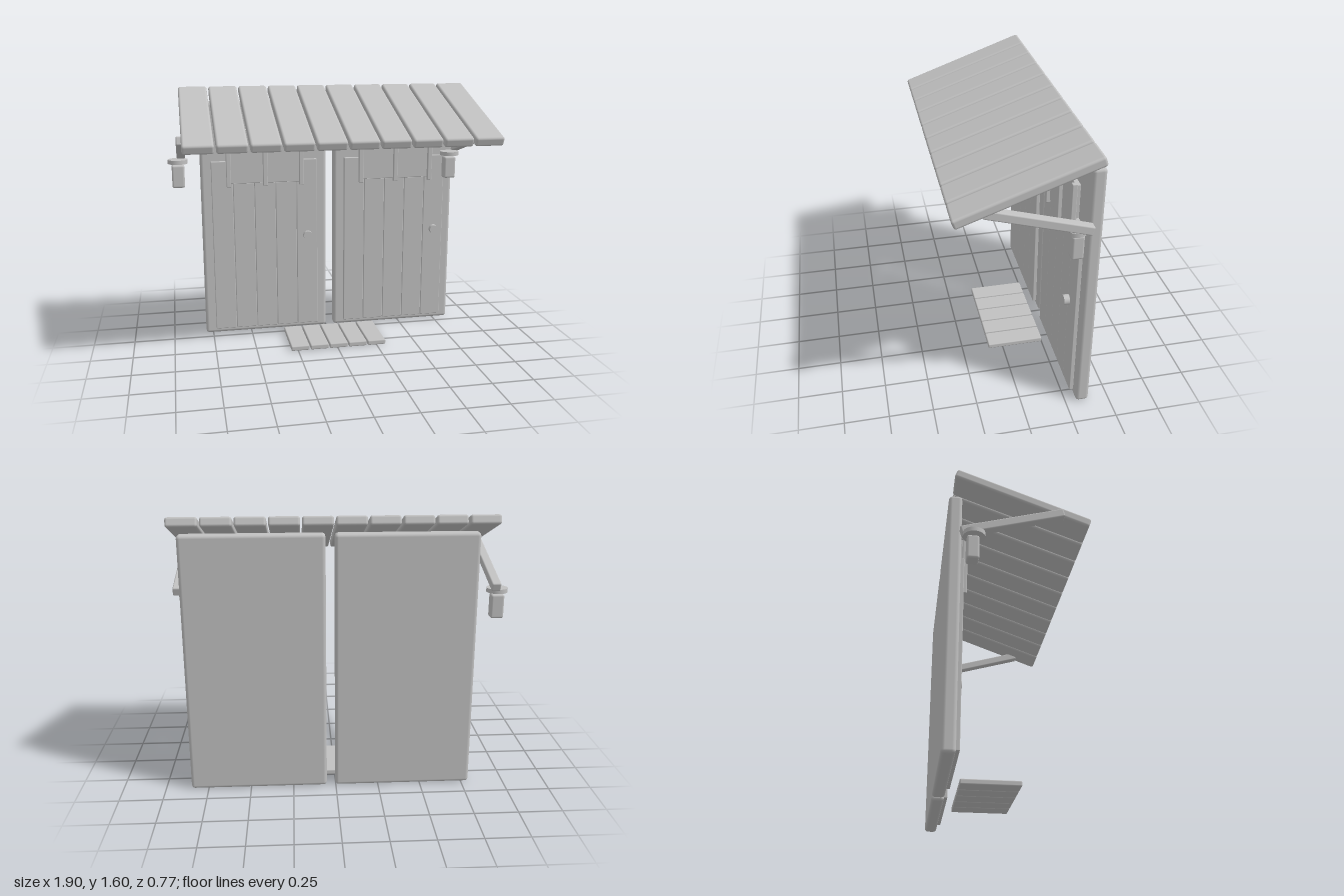
import * as THREE from 'three';
import { RoundedBoxGeometry } from 'three/addons/geometries/RoundedBoxGeometry.js';

export function createModel() {
  const model = new THREE.Group();
  model.name = 'shedFront';
  const greyWood = new THREE.MeshStandardMaterial({ color: 0xc0c0c0 });
  greyWood.name = 'greyWood';

  const add = (name, geometry, x, y, z, parent = model) => {
    const mesh = new THREE.Mesh(geometry, greyWood);
    mesh.name = name;
    mesh.position.set(x, y, z);
    parent.add(mesh);
    return mesh;
  };
  // Bevelled board given by its extents
  const board = (name, x0, x1, y0, y1, z0, z1, r, parent) =>
    add(name, new RoundedBoxGeometry(x1 - x0, y1 - y0, z1 - z0, 2, r),
      (x0 + x1) / 2, (y0 + y1) / 2, (z0 + z1) / 2, parent);

  // Wall panels, each with a planked door, window and knob
  const doorWidth = 0.672, plank = doorWidth / 5;
  [[-0.795, 0.003], [0.053, 0.851]].forEach(([left, right], i) => {
    const bay = new THREE.Group();
    bay.name = i ? 'leftBay' : 'rightBay';
    model.add(bay);
    board('wallPanel', left, right, 0.005, 1.51, -0.385, -0.31, 0.02, bay);

    const x0 = left + 0.064;
    for (let p = 0; p < 5; p++) {
      const top = p === 0 || p === 4 ? 1.142 : 1.002;
      board('doorPlank', x0 + p * plank + 0.001, x0 + (p + 1) * plank - 0.001,
        0.04, top, -0.312, -0.287, 0.004, bay);
    }

    // Window pane and its three bars
    const w0 = left + 0.172, w1 = left + 0.632;
    board('windowPane', w0, w1, 1.0, 1.338, -0.312, -0.284, 0.004, bay);
    for (const x of [w0, (w0 + w1) / 2, w1]) {
      board('windowBar', x - 0.014, x + 0.014, 0.982, 1.35, -0.29, -0.262, 0.004, bay);
    }

    // Round knob facing forward
    const knob = add('doorKnob', new THREE.CylinderGeometry(0.029, 0.029, 0.032, 24),
      left + 0.668, 0.65, -0.255, bay);
    knob.rotation.x = Math.PI / 2;
  });

  // Sloping roof planks
  for (let i = 0; i < 10; i++) {
    const roof = add('roofPlank', new RoundedBoxGeometry(0.172, 0.055, 0.785, 2, 0.014),
      (i - 4.5) * 0.1828, 1.447, 0.013);
    roof.rotation.x = 0.343;
  }

  // Roof braces
  for (const x of [-0.91, 0.868]) {
    const brace = add('roofBrace', new RoundedBoxGeometry(0.052, 0.05, 0.58, 2, 0.008),
      x, 1.268, -0.046);
    brace.rotation.x = -0.288;
  }

  // Hanging lanterns
  for (const x of [-0.93, 0.811]) {
    add('lanternCap', new THREE.CylinderGeometry(0.06, 0.06, 0.025, 24), x, 1.158, -0.255);
    add('lanternBody', new RoundedBoxGeometry(0.076, 0.14, 0.066, 2, 0.012), x, 1.066, -0.262);
  }

  // Doorstep planks
  for (let i = 0; i < 5; i++) {
    const x = 0.008 + (i - 2) * 0.1215;
    board('stepPlank', x - 0.057, x + 0.057, 0.005, 0.036, -0.25, 0.09, 0.007);
  }
  return model;
}
